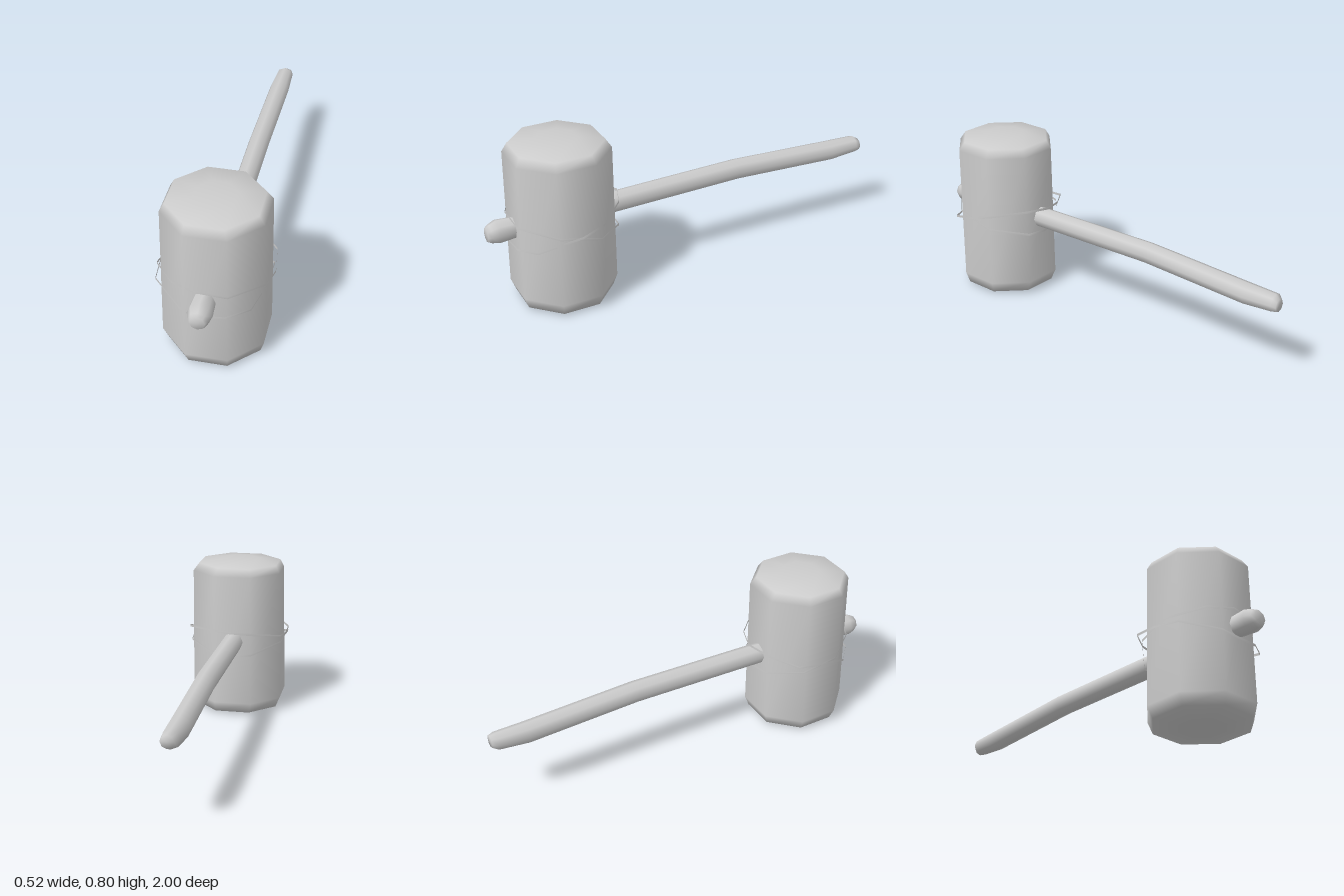
import * as THREE from 'three';

// Smooth eight-sided loft along +z. Each ring is [z, centreX, centreY, radius].
function loft(rings, phase) {
  const n = 8, pos = [], idx = [];
  for (const [z, cx, cy, r] of rings) {
    for (let j = 0; j < n; j++) {
      const a = phase + (j / n) * Math.PI * 2;
      pos.push(cx + r * Math.cos(a), cy + r * Math.sin(a), z);
    }
  }
  for (let i = 0; i < rings.length - 1; i++) {
    for (let j = 0; j < n; j++) {
      const k = (j + 1) % n;
      const a = i * n + j, b = i * n + k, c = a + n, d = b + n;
      idx.push(a, b, d, a, d, c);
    }
  }
  // end caps
  const last = rings.length - 1, start = rings.length * n, end = start + 1;
  for (const [z, cx, cy] of [rings[0], rings[last]]) pos.push(cx, cy, z);
  for (let j = 0; j < n; j++) {
    const k = (j + 1) % n;
    idx.push(start, k, j, end, last * n + j, last * n + k);
  }
  return indexed(pos, idx);
}

function indexed(pos, idx) {
  const g = new THREE.BufferGeometry();
  g.setAttribute('position', new THREE.Float32BufferAttribute(pos, 3));
  g.setIndex(idx);
  g.computeVertexNormals();
  return g;
}

// Closed upright ribbon through a loop of [x, y, z] points.
function ribbon(points, width) {
  const pos = [], idx = [], n = points.length;
  points.forEach(([x, y, z], i) => {
    pos.push(x, y - width / 2, z, x, y + width / 2, z);
    const a = i * 2, b = ((i + 1) % n) * 2;
    idx.push(a, b, b + 1, a, b + 1, a + 1);
  });
  return indexed(pos, idx);
}

export function createModel() {
  const group = new THREE.Group();
  const grey = new THREE.MeshStandardMaterial({ color: 0xcccccc, side: THREE.DoubleSide });
  grey.name = 'plain grey';
  const add = (name, geometry) => {
    const mesh = new THREE.Mesh(geometry, grey);
    mesh.name = name;
    group.add(mesh);
  };

  // octagonal head: bevelled block with slightly domed ends, flats facing the axes
  const k = 1 / Math.cos(Math.PI / 8);
  const head = loft([
    [0.002, 0, -0.645, 0.1 * k],
    [0.016, 0, -0.645, 0.212 * k],
    [0.07, -0.003, -0.645, 0.232 * k],
    [0.745, 0.004, -0.645, 0.226 * k],
    [0.784, 0, -0.645, 0.202 * k],
    [0.8, 0, -0.645, 0.09 * k],
  ], Math.PI / 8);
  head.rotateX(-Math.PI / 2);
  add('head', head);

  // slightly bent handle passing right through the head
  add('handle', loft([
    [-1.0, 0.008, 0.398, 0.03],
    [-0.975, -0.002, 0.4, 0.043],
    [-0.83, -0.005, 0.395, 0.051],
    [-0.28, -0.005, 0.419, 0.051],
    [0.41, -0.005, 0.405, 0.051],
    [0.87, -0.003, 0.402, 0.05],
    [0.95, -0.003, 0.401, 0.056],
    [0.985, -0.003, 0.397, 0.044],
    [1.0, -0.003, 0.395, 0.034],
  ], 0));

  // crossed lashing: each loop passes above the handle on one side, below on the other
  add('lashingOverFront', ribbon([
    [-0.257, 0.424, 0.7], [-0.155, 0.458, 0.84], [-0.04, 0.469, 0.895],
    [0.1, 0.452, 0.885], [0.236, 0.425, 0.74], [0.236, 0.375, 0.54],
    [0.1, 0.343, 0.4], [0, 0.338, 0.39], [-0.1, 0.343, 0.4], [-0.24, 0.385, 0.53],
  ], 0.012));
  add('lashingUnderFront', ribbon([
    [-0.248, 0.388, 0.76], [-0.11, 0.349, 0.88], [0, 0.334, 0.895],
    [0.09, 0.338, 0.89], [0.19, 0.354, 0.83], [0.26, 0.42, 0.64],
    [0.245, 0.45, 0.53], [0.11, 0.468, 0.4], [0, 0.467, 0.36],
    [-0.11, 0.452, 0.4], [-0.24, 0.425, 0.5], [-0.255, 0.412, 0.62],
  ], 0.012));

  return group;
}
